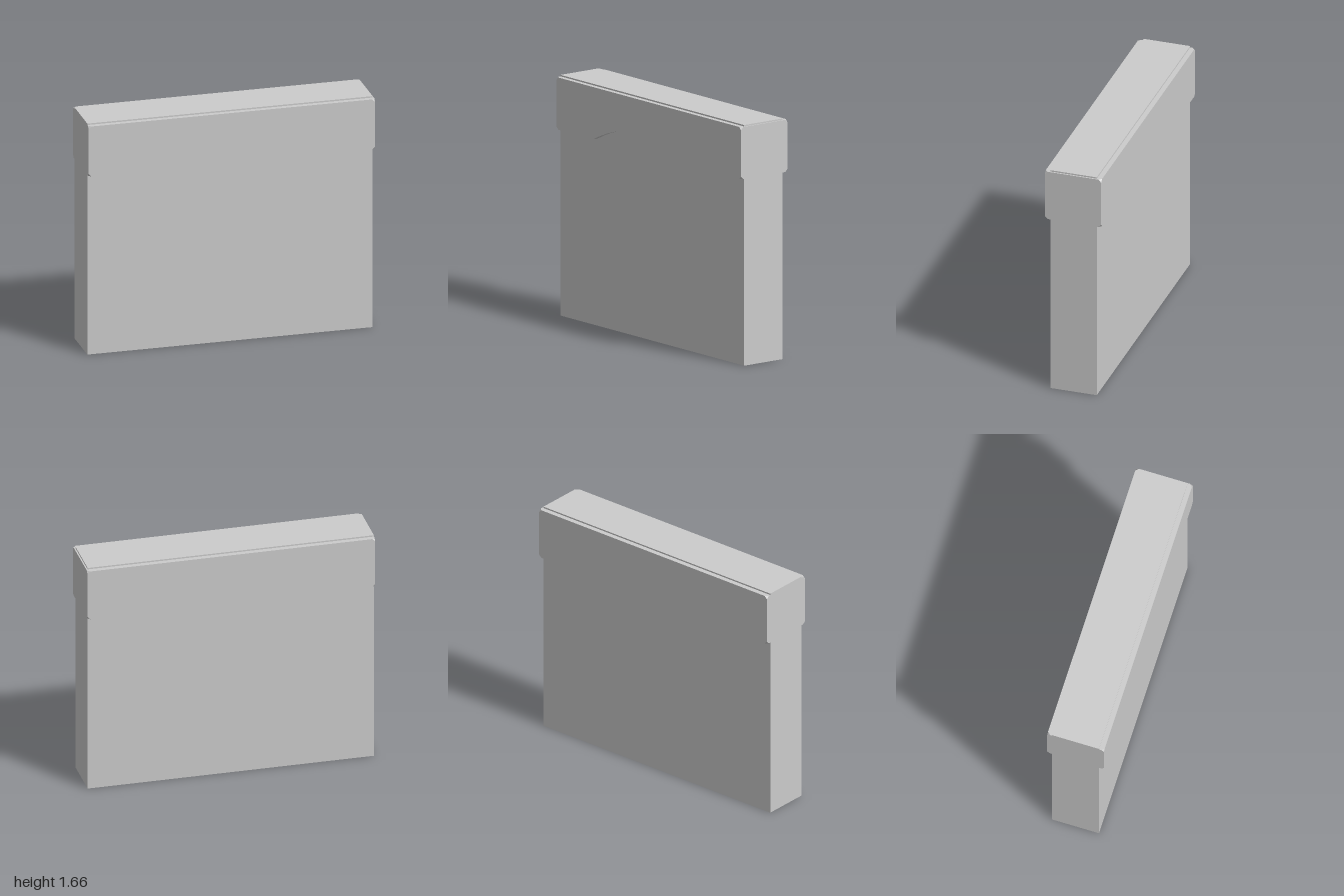
import * as THREE from 'three';

const material = new THREE.MeshStandardMaterial({ color: 0xcccccc, flatShading: true });

const LOW = 1.29, HIGH = 1.65, HALF_DEPTH = 0.2, CUT = 0.02;

// Capping block: arched underside, its eight outer corners clipped off
function capGeometry() {
  const shape = new THREE.Shape();
  shape.moveTo(-1 + CUT, LOW);
  shape.lineTo(-0.6, LOW);
  const sag = 0.145, radius = (0.36 + sag * sag) / (2 * sag);
  const centreY = LOW + sag - radius, half = Math.asin(0.6 / radius);
  for (let i = 1; i <= 16; i++) {
    const a = -half + (2 * half * i) / 16;
    shape.lineTo(radius * Math.sin(a), centreY + radius * Math.cos(a));
  }
  shape.lineTo(1 - CUT, LOW);
  shape.lineTo(1, LOW + CUT);
  shape.lineTo(1, HIGH - CUT);
  shape.lineTo(1 - CUT, HIGH);
  shape.lineTo(-1 + CUT, HIGH);
  shape.lineTo(-1, HIGH - CUT);
  shape.lineTo(-1, LOW + CUT);
  shape.closePath();

  const geometry = new THREE.ExtrudeGeometry(shape, { depth: 3, steps: 3, bevelEnabled: false });
  const p = geometry.attributes.position;
  const midY = (LOW + HIGH) / 2;
  const layers = [-HALF_DEPTH, -HALF_DEPTH + CUT, HALF_DEPTH - CUT, HALF_DEPTH];
  for (let i = 0; i < p.count; i++) {
    const layer = Math.round(p.getZ(i));
    p.setZ(i, layers[layer]);
    // Inner layers keep square corners, so only the corner tips are clipped
    if ((layer === 1 || layer === 2) && Math.abs(p.getX(i)) > 0.9) {
      p.setX(i, Math.sign(p.getX(i)));
      p.setY(i, p.getY(i) < midY ? LOW : HIGH);
    }
  }

  // Drop the triangles that collapsed at the square corners
  const kept = [];
  const tri = new THREE.Triangle();
  for (let i = 0; i < p.count; i += 3) {
    tri.setFromAttributeAndIndices(p, i, i + 1, i + 2);
    if (tri.getArea() > 1e-7) {
      for (const v of [tri.a, tri.b, tri.c]) kept.push(v.x, v.y, v.z);
    }
  }
  const result = new THREE.BufferGeometry();
  result.setAttribute('position', new THREE.Float32BufferAttribute(kept, 3));
  result.computeVertexNormals();
  return result;
}

export function createModel() {
  const group = new THREE.Group();
  group.name = 'cappedWall';

  // Wall slab, rising just above the cap and stopping short of its +x end
  const wall = new THREE.Mesh(new THREE.BoxGeometry(1.99, 1.66, 0.33), material);
  wall.position.set(-0.005, 0.83, 0);
  wall.name = 'wallSlab';
  group.add(wall);

  const cap = new THREE.Mesh(capGeometry(), material);
  cap.name = 'archedCap';
  group.add(cap);

  return group;
}
